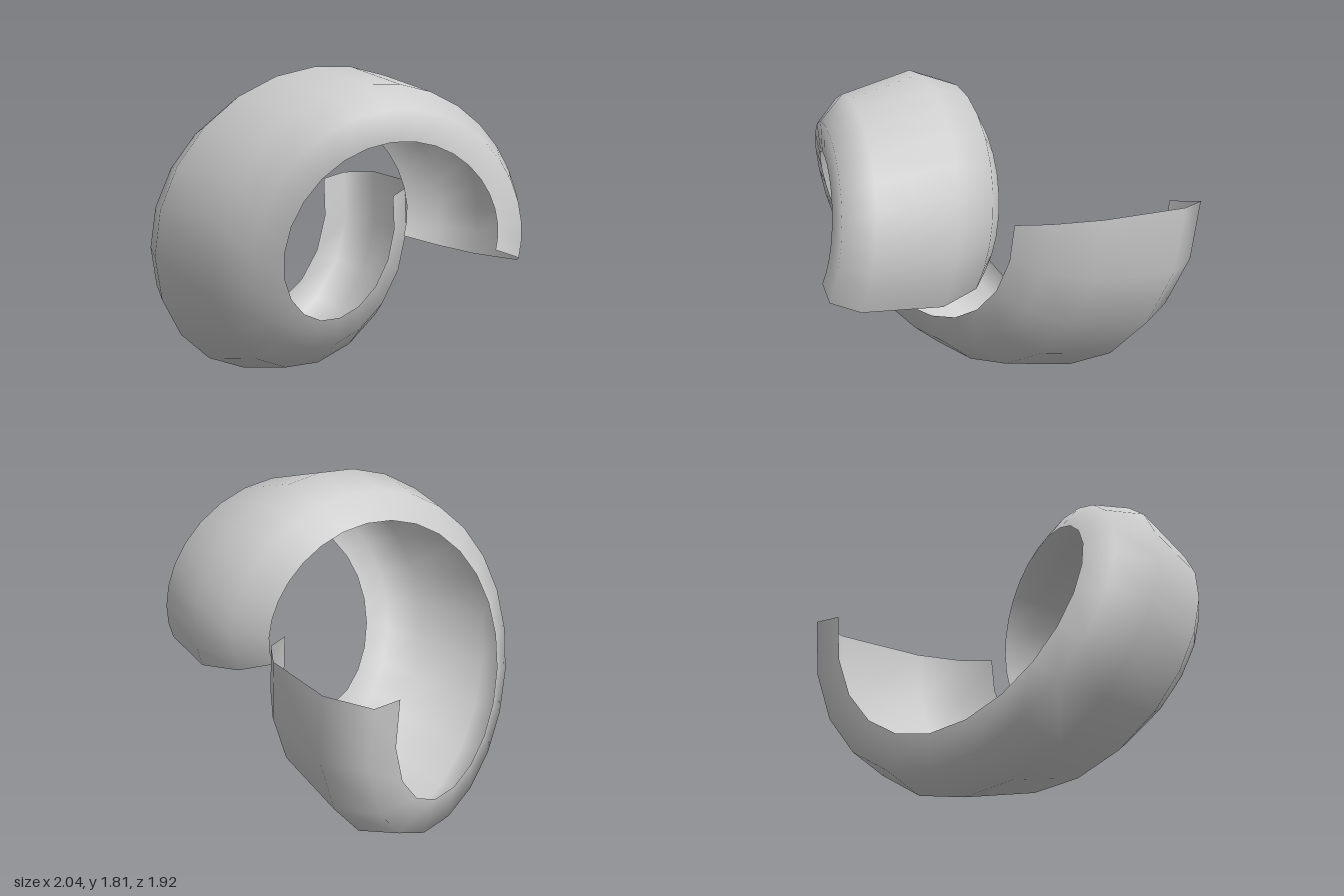
import * as THREE from 'three';

// Cross-section of the band from left rim to right rim, as [across, depth below the crest];
// it shrinks and rolls gradually from the first shape to the second
const START = [[-0.19, 0.29], [-0.22, 0.09], [0, 0], [0.46, 0.115], [0.67, 0.28], [0.77, 0.46]];
const END = [[-0.39, 0.2], [-0.24, 0.07], [0, 0], [0.4, 0.09], [0.51, 0.2], [0.48, 0.345]];
const STEPS = 26;
const { lerp, degToRad } = THREE.MathUtils;

// Point j of the cross-section; s runs 0..1 along the spiral
function bandPoint(s, j) {
  const angle = degToRad(-10 + 390 * s);
  const across = lerp(START[j][0], END[j][0], s);
  const depth = lerp(START[j][1], END[j][1], s);
  // Crest travels sideways, slower near both ends
  const crestX = -0.135 + 0.3275 * (2 * s - 1 - Math.cos(Math.PI * s));
  const centreY = 0.965 + 0.075 * s ** 6;
  const r = 1.035 - 0.272 * s - depth;
  return [crestX + across, centreY - r * Math.sin(angle), 0.063 - r * Math.cos(angle)];
}

export function createModel() {
  const group = new THREE.Group();
  group.name = 'spiral';

  // Sweep the arched section along the shrinking spiral, with steps that get shorter
  const positions = [], indices = [], n = START.length;
  for (let i = 0; i <= STEPS; i++) {
    const t = i / STEPS, s = t * (4 - t) / 3;
    for (let j = 0; j < n; j++) positions.push(...bandPoint(s, j));
  }
  for (let i = 0; i < STEPS; i++) {
    for (let j = 0; j < n - 1; j++) {
      const a = i * n + j, b = a + n;
      indices.push(a, a + 1, b, a + 1, b + 1, b);
    }
  }
  const geometry = new THREE.BufferGeometry();
  geometry.setAttribute('position', new THREE.Float32BufferAttribute(positions, 3));
  geometry.setIndex(indices);
  geometry.computeVertexNormals();

  const band = new THREE.Mesh(geometry,
    new THREE.MeshStandardMaterial({ color: 0xcccccc, side: THREE.DoubleSide }));
  band.name = 'spiralBand';
  group.add(band);
  return group;
}
